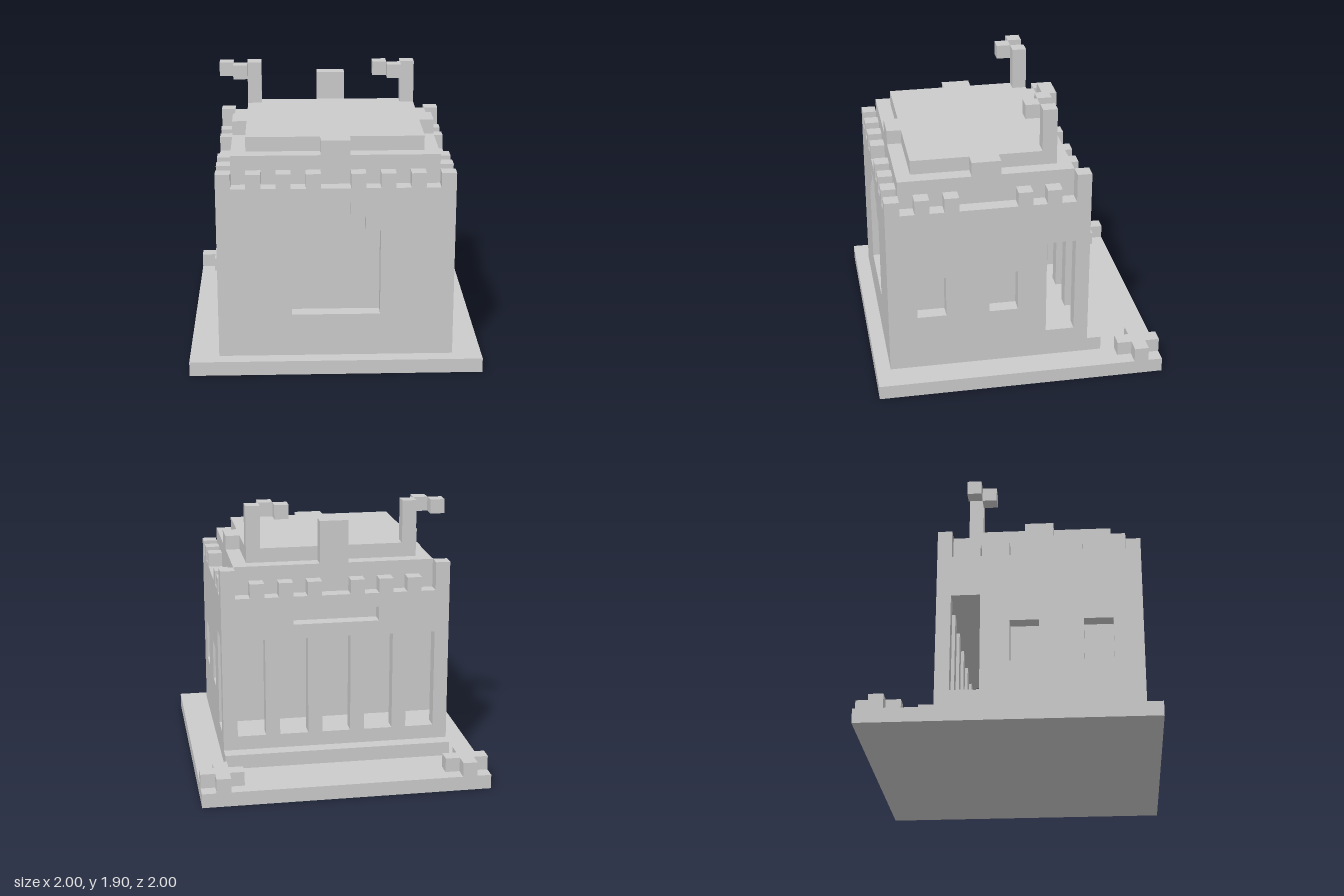
import * as THREE from 'three';

const material = new THREE.MeshStandardMaterial({ color: 0xcccccc, flatShading: true });
const UNIT = 0.1;

export function createModel() {
  const model = new THREE.Group();
  model.name = 'smallCastle';

  function add(name, geometry) {
    const mesh = new THREE.Mesh(geometry, material);
    mesh.name = name;
    model.add(mesh);
    return mesh;
  }

  // Box given by its two ends along each axis
  function box(name, x0, x1, y0, y1, z0, z1) {
    const mesh = add(name, new THREE.BoxGeometry(x1 - x0, y1 - y0, z1 - z0));
    mesh.position.set((x0 + x1) / 2, (y0 + y1) / 2, (z0 + z1) / 2);
    return mesh;
  }

  const rect = (x0, x1, y0, y1) => [[x0, y0], [x1, y0], [x1, y1], [x0, y1]];
  const toPoints = (list) => list.map(([x, y]) => new THREE.Vector2(x, y));

  // One-unit-thick wall with battlements [start, end, top] and cut-outs
  function wall(name, x0, x1, merlons, holes) {
    const bottom = 0.1, ledge = 1.3;
    const outline = [[x0, bottom], [x1, bottom]];
    if (merlons[merlons.length - 1][1] < x1) outline.push([x1, ledge]);
    for (const [a, b, top] of [...merlons].reverse()) {
      if (b < x1) outline.push([b, ledge]);
      outline.push([b, top], [a, top]);
      if (a > x0) outline.push([a, ledge]);
    }
    if (merlons[0][0] > x0) outline.push([x0, ledge]);
    const shape = new THREE.Shape(toPoints(outline));
    for (const hole of holes) shape.holes.push(new THREE.Path(toPoints(hole)));
    return add(name, new THREE.ExtrudeGeometry(shape, { depth: UNIT, bevelEnabled: false }));
  }

  // Ground slab, step, porch floor and lintel, solid core
  box('groundSlab', -1, 1, 0, 0.1, -1, 1);
  box('entranceStep', -0.8, 0.8, 0.1, 0.2, -0.6, -0.5);
  box('porchFloor', -0.7, 0.7, 0.1, 0.3, -0.4, -0.2);
  box('porchCeiling', -0.7, 0.7, 1.0, 1.3, -0.4, -0.2);
  box('hallCore', -0.7, 0.7, 0.1, 1.3, -0.2, 0.8);

  // Front wall with its stepped arch niche
  const longRow = (cornerTop) => [-0.8, -0.6, -0.4, -0.2, 0.1, 0.3, 0.5, 0.7]
    .map((x) => [x, x + UNIT, Math.abs(x + 0.05) > 0.7 ? cornerTop : 1.4]);
  const arch = [
    [-0.3, 0.4], [0.3, 0.4], [0.3, 1.0], [0.2, 1.0], [0.2, 1.1], [0.1, 1.1], [0.1, 1.2],
    [-0.1, 1.2], [-0.1, 1.1], [-0.2, 1.1], [-0.2, 1.0], [-0.3, 1.0],
  ];
  wall('frontWall', -0.8, 0.8, longRow(1.4), [arch]).position.z = 0.8;

  // Back wall: five openings leave a row of columns, with a sign slot above
  const openings = [-0.7, -0.4, -0.1, 0.2, 0.5].map((x) => rect(x, x + 0.2, 0.3, 1.0));
  wall('columnWall', -0.8, 0.8, longRow(1.5), [...openings, rect(-0.3, 0.3, 1.1, 1.2)])
    .position.z = -0.5;

  // Side walls with two windows and an open porch end
  const sideRow = [-0.3, -0.1, 0.4, 0.6].map((z) => [z, z + UNIT, 1.4]);
  for (const [name, x] of [['leftWall', 0.8], ['rightWall', -0.7]]) {
    const side = wall(name, -0.4, 0.8, sideRow, [
      rect(0.5, 0.7, 0.5, 0.8), rect(0, 0.2, 0.5, 0.8), rect(-0.4 + 1e-4, -0.2, 0.3, 1.0),
    ]);
    side.rotation.y = -Math.PI / 2;
    side.position.x = x;
  }

  // Stepped roof with small bumps and a chimney
  box('lowerRoof', -0.7, 0.7, 1.3, 1.5, -0.4, 0.8);
  box('upperRoof', -0.6, 0.6, 1.5, 1.6, -0.3, 0.7);
  box('frontRoofBump', -0.1, 0.1, 1.5, 1.6, 0.7, 0.8);
  box('leftRoofBump', 0.6, 0.7, 1.5, 1.6, 0.1, 0.3);
  box('rightRoofBump', -0.7, -0.6, 1.5, 1.6, 0.1, 0.3);
  box('chimney', -0.1, 0.1, 1.5, 1.8, -0.4, -0.3);

  // Flagpoles, each with a two-block waving flag towards -x
  for (const x of [-0.6, 0.5]) {
    box('flagpole', x, x + 0.1, 1.6, 1.9, -0.3, -0.2);
    box('flagInner', x - 0.1, x, 1.8, 1.9, -0.2, -0.1);
    box('flagOuter', x - 0.2, x - 0.1, 1.8, 1.9, -0.3, -0.2);
  }

  // Cross-shaped shrubs in the back corners
  for (const x of [-0.85, 0.85]) {
    box('shrubAcross', x - 0.15, x + 0.15, 0.1, 0.2, -0.9, -0.8);
    box('shrubBackArm', x - 0.05, x + 0.05, 0.1, 0.2, -1, -0.9);
    box('shrubFrontArm', x - 0.05, x + 0.05, 0.1, 0.2, -0.8, -0.7);
  }

  return model;
}
